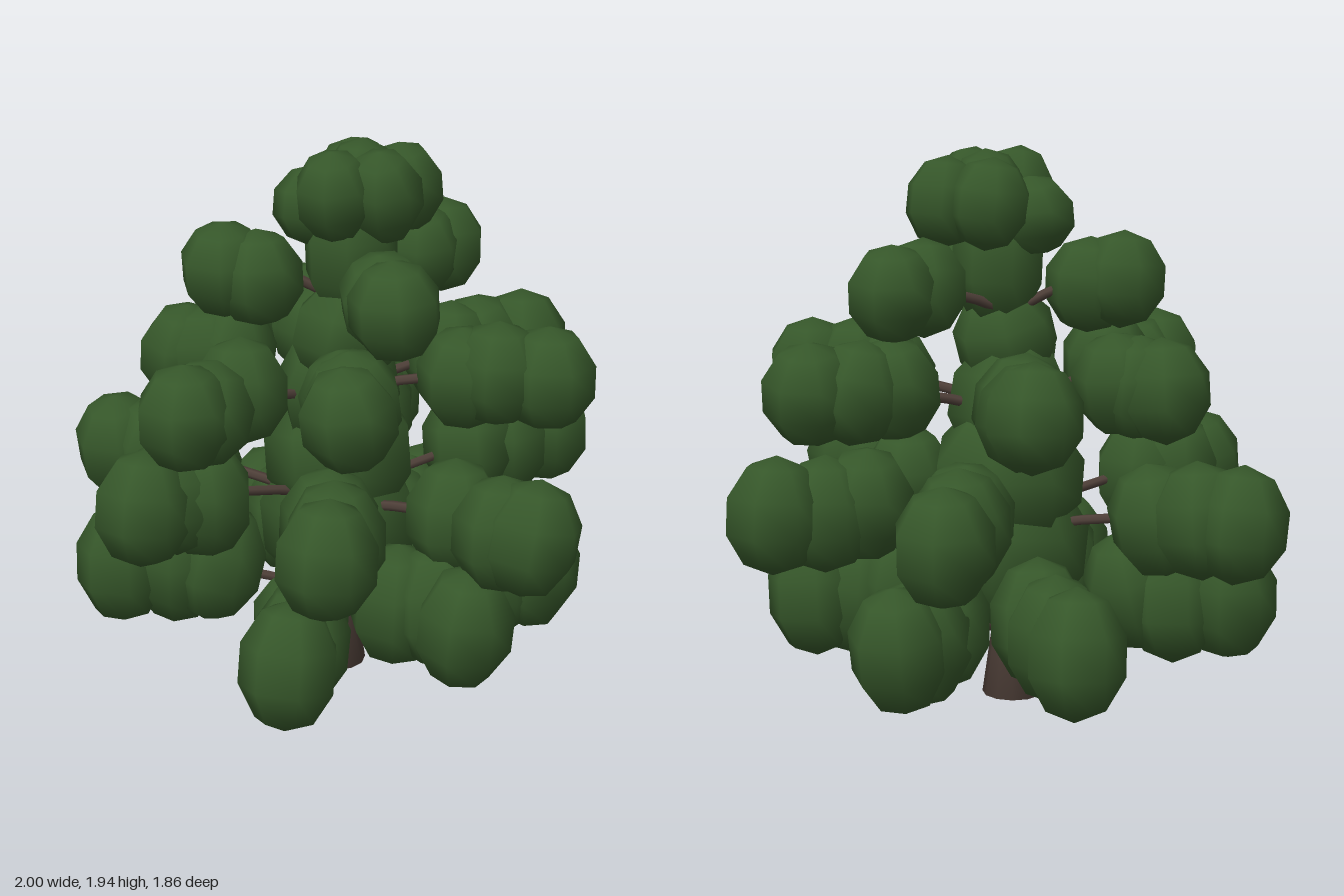
import * as THREE from 'three';

export function createModel() {
  const tree = new THREE.Group();
  tree.name = 'tree';
  const leafGreen = new THREE.MeshStandardMaterial({ color: 0x36572a });
  leafGreen.name = 'leafGreen';
  const barkBrown = new THREE.MeshStandardMaterial({ color: 0x4e3f38 });
  barkBrown.name = 'barkBrown';

  // Small seeded generator for natural variation, returns -1..1
  let seed = 11;
  const jitter = () => {
    seed = (seed * 16807) % 2147483647;
    return (seed / 2147483647) * 2 - 1;
  };

  const add = (geometry, material, name, parent = tree) => {
    const mesh = new THREE.Mesh(geometry, material);
    mesh.name = name;
    parent.add(mesh);
    return mesh;
  };

  // One leaf clump: a coarse smooth ball, stretched and slightly tilted
  const ball = new THREE.SphereGeometry(1, 7, 5);
  const clump = (x, y, z, r, h, name, parent) => {
    const mesh = add(ball, leafGreen, name, parent);
    mesh.position.set(x, y, z);
    mesh.scale.set(r, h, r);
    mesh.rotation.set(jitter() * 0.2, jitter() * Math.PI, jitter() * 0.2);
  };

  // Trunk: wide foot, tapering up through the crown
  const trunkProfile = [[0, 0], [0.11, 0], [0.07, 0.28], [0.05, 0.9], [0.025, 1.7], [0, 1.7]];
  add(new THREE.LatheGeometry(trunkProfile.map(([r, y]) => new THREE.Vector2(r, y)), 12), barkBrown, 'trunk');

  // Branch: thin bent tube from the trunk to a clump
  const branch = (x, y, z, parent) => {
    const curve = new THREE.QuadraticBezierCurve3(
      new THREE.Vector3(0, y - 0.12, 0),
      new THREE.Vector3(x * 0.4, y - 0.02, z * 0.4),
      new THREE.Vector3(x, y, z));
    add(new THREE.TubeGeometry(curve, 5, 0.018, 6), barkBrown, 'branch', parent);
  };

  // Tiers: clump radius and half height, clump steps along each branch, branch ends [x, y, z]
  const tiers = [
    { r: 0.175, h: 0.225, steps: [1, 0.8, 0.6],
      ends: [[0.2, 0.34, 0.72], [0.62, 0.37, 0.25], [-0.69, 0.37, 0.33],
        [-0.52, 0.35, -0.46], [0.0, 0.35, -0.72], [0.63, 0.35, -0.33]] },
    { r: 0.175, h: 0.205, steps: [1, 0.83, 0.66],
      ends: [[0.83, 0.72, 0.2], [0.36, 0.77, 0.76], [-0.39, 0.76, 0.65],
        [-0.84, 0.71, 0.08], [-0.21, 0.74, -0.77], [0.5, 0.74, -0.72]] },
    { r: 0.17, h: 0.185, steps: [1, 0.82, 0.64],
      ends: [[0.72, 1.14, -0.19], [0.28, 1.13, 0.45], [-0.2, 1.13, 0.68],
        [-0.53, 1.13, 0.12], [-0.38, 1.13, -0.5], [0.47, 1.13, -0.55]] },
    { r: 0.16, h: 0.17, steps: [1, 0.68],
      ends: [[0.41, 1.5, 0.38], [-0.32, 1.49, 0.2], [0.2, 1.48, -0.44]] },
  ];
  tiers.forEach(({ r, h, steps, ends }, i) => {
    const tier = new THREE.Group();
    tier.name = `foliageTier${i + 1}`;
    tree.add(tier);
    for (const [x, y, z] of ends) {
      branch(x * 0.8, y, z * 0.8, tier);
      steps.forEach((t, k) => {
        const s = k ? 0.04 : 0;
        clump(x * t + jitter() * s, y + jitter() * s * 0.6, z * t + jitter() * s, r, h, 'leafClump', tier);
      });
    }
  });

  // Dense foliage around the trunk: [x, y, z, radius, half height]
  const core = [
    [0.0, 0.55, -0.03, 0.29, 0.3], [0.0, 0.8, -0.04, 0.28, 0.27],
    [0.02, 1.05, 0.01, 0.22, 0.24], [0.06, 1.27, 0.05, 0.19, 0.19],
    [0.07, 1.55, 0.02, 0.17, 0.24],
  ];
  for (const c of core) clump(...c, 'coreFoliage', tree);

  // Crown top: a cluster of smaller clumps
  const top = [
    [0.07, 1.78, 0.14, 0.14, 0.16], [-0.05, 1.71, 0.05, 0.15, 0.14],
    [0.02, 1.76, -0.12, 0.15, 0.16], [0.19, 1.76, -0.14, 0.14, 0.16],
    [0.2, 1.77, 0.04, 0.14, 0.17], [0.08, 1.78, -0.03, 0.14, 0.16],
  ];
  for (const c of top) clump(...c, 'crownClump', tree);

  return tree;
}
